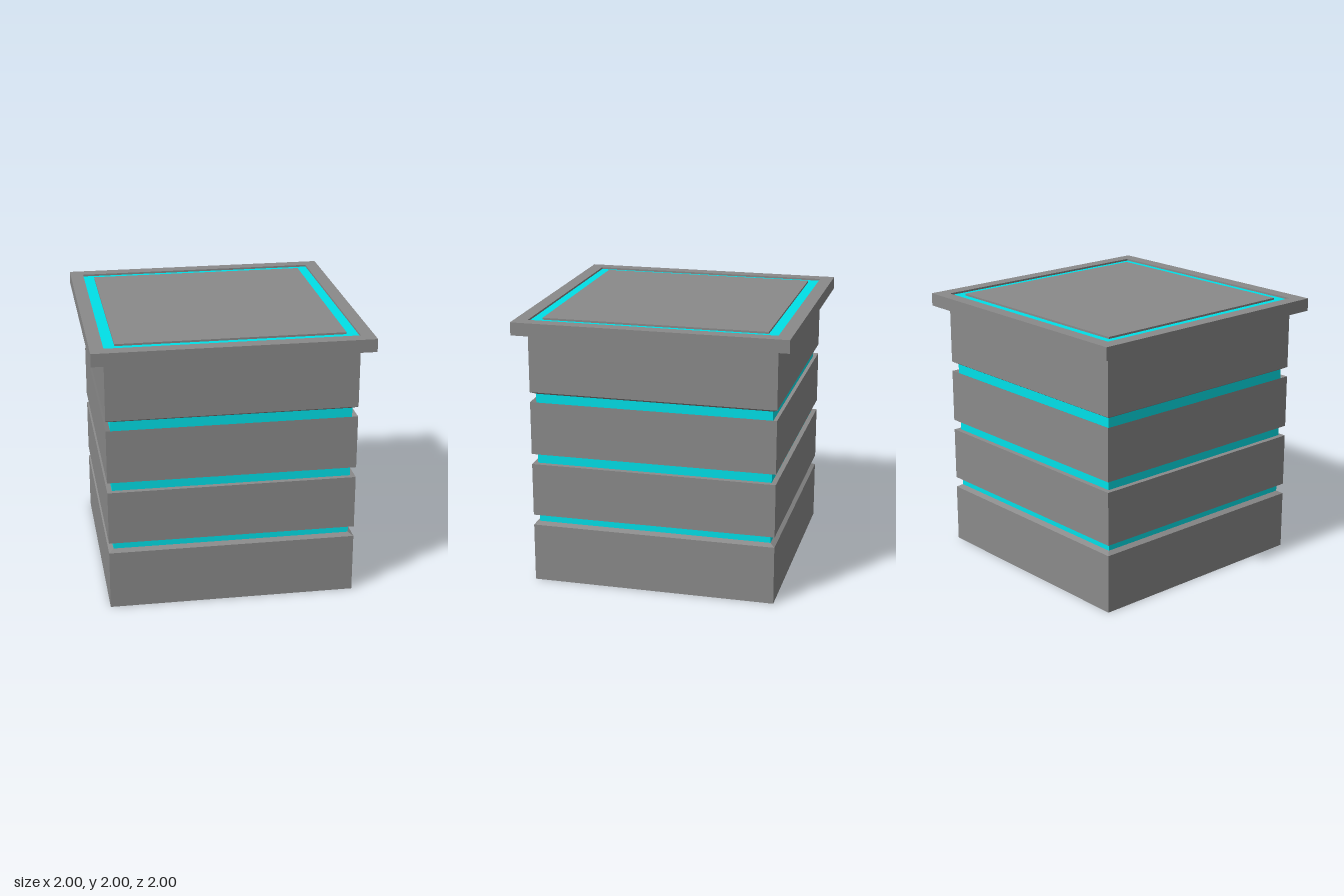
import * as THREE from 'three';

const grey = new THREE.MeshStandardMaterial({ color: 0x8a8a8a });
const teal = new THREE.MeshStandardMaterial({ color: 0x00e0e8 });

// Square sweep of a [halfWidth, y] profile, listed from the bottom outwards and up
function squareSweep(name, profile, material) {
  const points = profile.map(([w, y]) => new THREE.Vector2(w * Math.SQRT2, y));
  const geometry = new THREE.LatheGeometry(points, 4, Math.PI / 4).toNonIndexed();
  geometry.computeVertexNormals();
  const mesh = new THREE.Mesh(geometry, material);
  mesh.name = name;
  return mesh;
}

export function createModel() {
  const group = new THREE.Group();
  group.name = 'crate';

  const body = 0.905, top = 1.905;
  const grooves = [[0.438, 0.517], [0.915, 0.993], [1.39, 1.465]];
  // Groove floors are the body surface shrunk towards its middle
  const shrink = 0.961, middle = 0.96;
  const inset = (y) => [body * shrink, middle + (y - middle) * shrink];

  // Body blocks, each ending in the slanted walls of the grooves beside it
  for (let i = 0; i <= grooves.length; i++) {
    const below = grooves[i - 1], above = grooves[i];
    const profile = [
      below ? inset(below[1]) : [0, 0],
      [body, below ? below[1] : 0],
      [body, above ? above[0] : top],
    ];
    if (above) profile.push(inset(above[0]));
    group.add(squareSweep(`bodyBlock${i + 1}`, profile, grey));
  }

  // Coloured bands at the bottom of the grooves
  grooves.forEach(([low, high], i) => {
    group.add(squareSweep(`sideBand${i + 1}`, [inset(low), inset(high)], teal));
  });

  // Overhanging lid rim, recessed band and centre panel
  const rim = 0.902, panel = 0.82, recess = 1.986;
  group.add(squareSweep('lidRim', [[body, top], [1, top], [1, 2], [rim, 2], [rim, recess]], grey));
  group.add(squareSweep('lidBand', [[rim, recess], [panel, recess]], teal));
  group.add(squareSweep('lidPanel', [[panel, recess], [panel, 2], [0, 2]], grey));

  return group;
}
